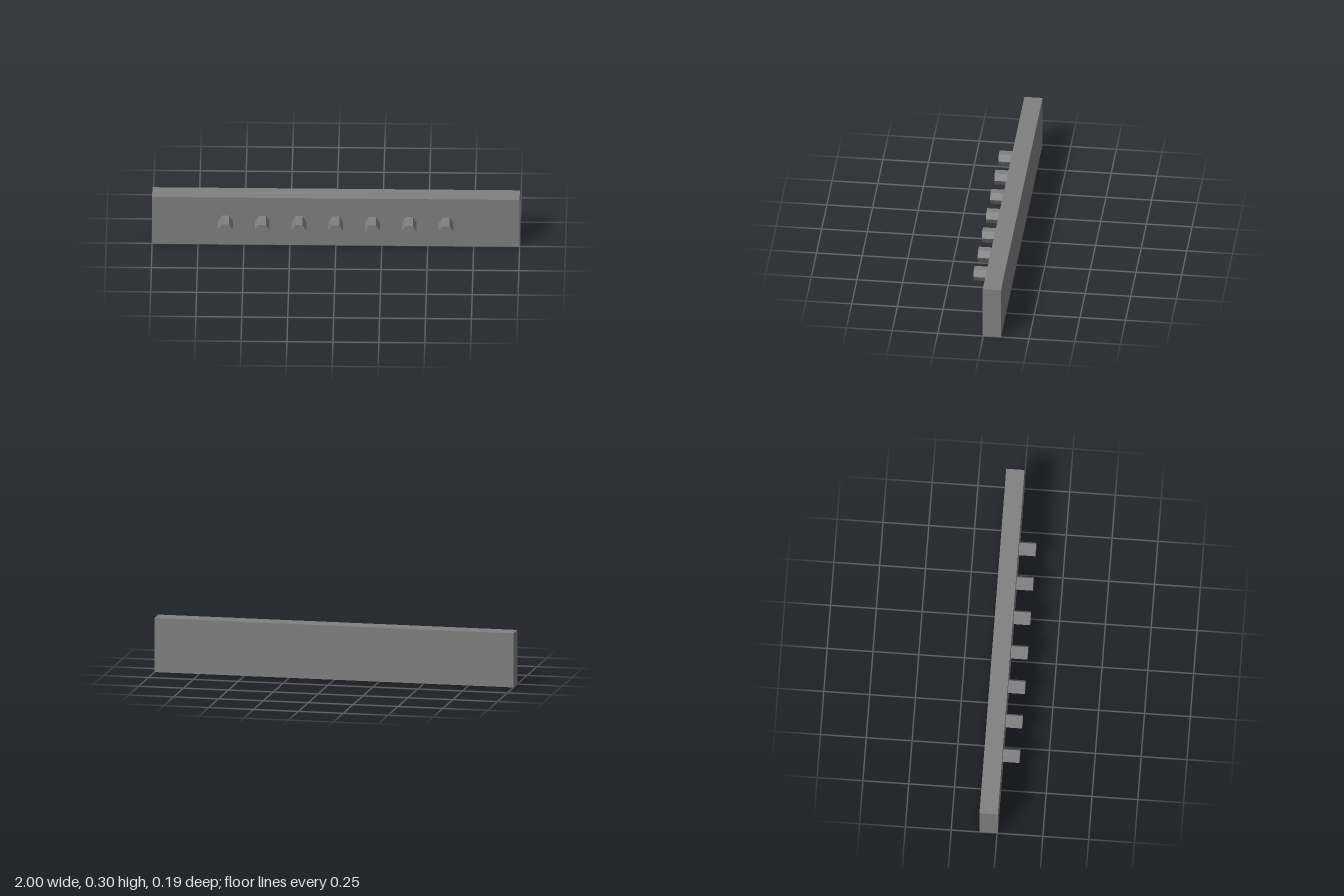
import * as THREE from 'three';

export function createModel() {
  const model = new THREE.Group();
  const grey = new THREE.MeshStandardMaterial({ color: 0x808080 });
  grey.name = 'grey';

  // Long backing board
  const board = new THREE.Mesh(new THREE.BoxGeometry(2, 0.3, 0.1), grey);
  board.name = 'board';
  board.position.set(0, 0.15, -0.046);
  model.add(board);

  // Row of hexagonal pegs, corners pointing sideways, slightly sunk into the board
  const pegCount = 7, spacing = 0.2, front = 0.096, back = 0;
  const pegGeometry = new THREE.CylinderGeometry(0.04, 0.04, front - back, 6, 1, false, Math.PI / 2)
    .rotateX(Math.PI / 2)
    .toNonIndexed();
  pegGeometry.computeVertexNormals(); // crisp facets
  for (let i = 0; i < pegCount; i++) {
    const peg = new THREE.Mesh(pegGeometry, grey);
    peg.name = `peg${i + 1}`;
    peg.position.set((i - (pegCount - 1) / 2) * spacing, 0.15, (front + back) / 2);
    model.add(peg);
  }

  return model;
}
